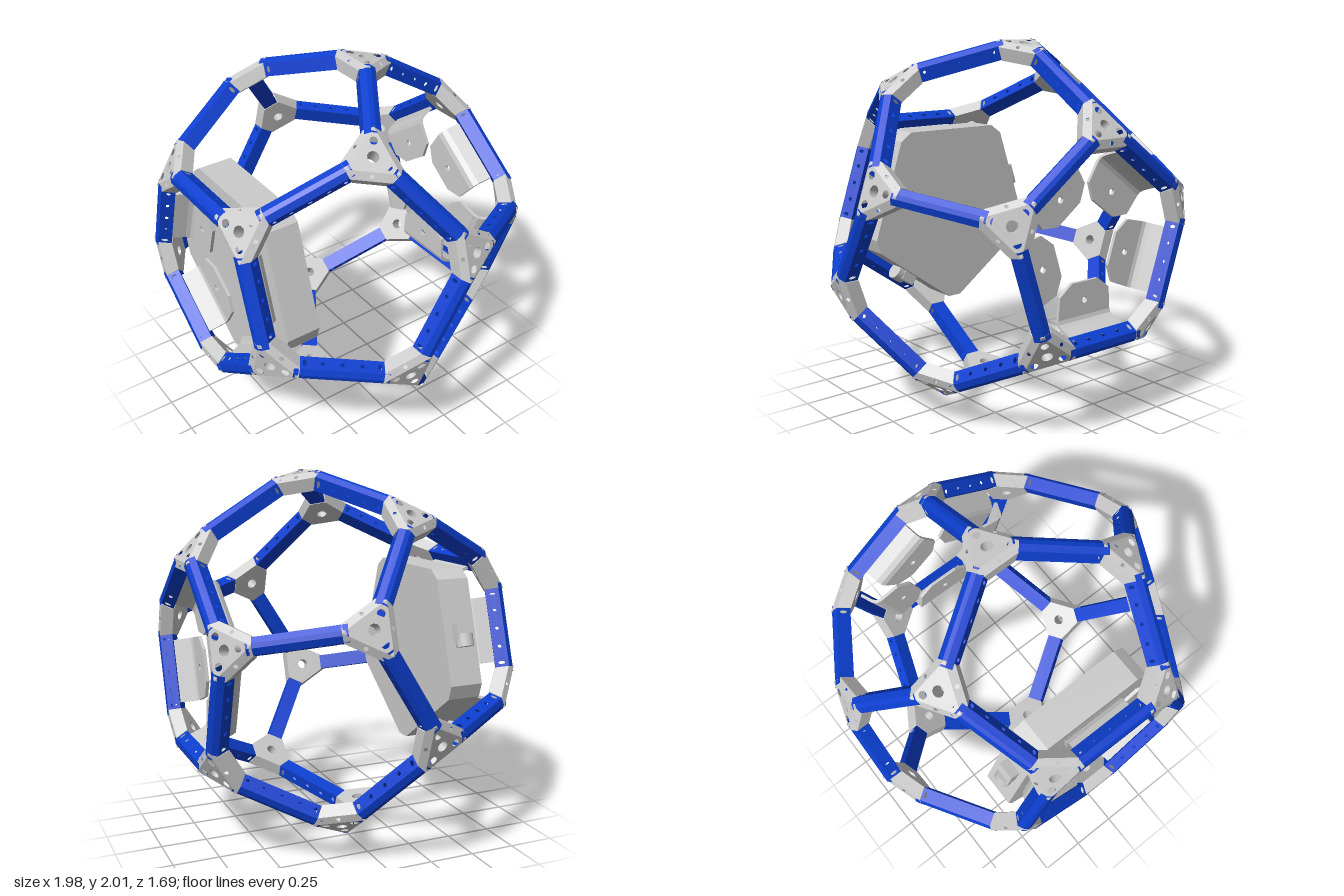
import * as THREE from 'three';
import { mergeGeometries } from 'three/addons/utils/BufferGeometryUtils.js';

const EDGE = 0.758;                 // edge length of the dodecahedron
const ARM = 0.165;                  // reach of a corner connector along each edge
const SLOPE = Math.tan(Math.PI / 2 - 1.01722); // roof pitch of the strut section
const TAU = Math.PI * 2;

const blue = new THREE.MeshStandardMaterial({ color: 0x0c3fd0, side: THREE.DoubleSide });
const grey = new THREE.MeshStandardMaterial({ color: 0xcccccc, side: THREE.DoubleSide });

const at = (o, ...terms) => {       // o + sum of (vector, factor) pairs
  const p = o.clone();
  for (let i = 0; i < terms.length; i += 2) p.addScaledVector(terms[i], terms[i + 1]);
  return p;
};
const mean = (pts) => pts.reduce((s, p) => s.add(p), new THREE.Vector3()).divideScalar(pts.length);

// Flat polygon with elliptical holes, facing away from the point "inside"
function panel(pts, inside, holes = []) {
  const o = pts[0];
  const u = pts[1].clone().sub(o).normalize();
  const n = u.clone().cross(pts[2].clone().sub(o)).normalize();
  if (n.dot(o.clone().sub(inside)) < 0) n.negate();
  const v = n.clone().cross(u);
  const flat = (p) => {
    const d = p.clone().sub(o);
    return new THREE.Vector2(d.dot(u), d.dot(v));
  };
  const shape = new THREE.Shape(pts.map(flat));
  for (const [p, rx, ry = rx] of holes) {
    const c = flat(p);
    shape.holes.push(new THREE.Path().absellipse(c.x, c.y, rx, ry, 0, TAU, true));
  }
  const g = new THREE.ShapeGeometry(shape, 5);
  return g.applyMatrix4(new THREE.Matrix4().makeBasis(u, v, n).setPosition(o));
}

// Corners of the frame: two pentagons and two wider rings
function corners() {
  const list = [];
  for (const s of [1, -1]) {
    for (let k = 0; k < 5; k++) {
      const t = -s * Math.PI / 2 + k * TAU / 5;
      for (const [r, z] of [[0.8507, 1.1135], [1.3764, 0.2629]]) {
        list.push(new THREE.Vector3(r * Math.cos(t), r * Math.sin(t), s * z).multiplyScalar(EDGE));
      }
    }
  }
  return list;
}

// House-shaped hollow beam with bolt holes and end slots in its sides
function strut(a, b) {
  const mid = a.clone().add(b).multiplyScalar(0.5);
  const up = mid.clone().normalize();
  const e = b.clone().sub(a).normalize();
  const side = e.clone().cross(up);
  const half = EDGE / 2 - ARM + 0.03, w = 0.043, r = 0.012, depth = 0.1;
  const P = (x, y, z) => at(mid, e, x, side, y, up, z);
  const strip = (y0, z0, y1, z1, holes) => panel(
    [P(-half, y0, z0), P(half, y0, z0), P(half, y1, z1), P(-half, y1, z1)], P(0, 0, -0.05), holes);
  const parts = [strip(-r, -r * SLOPE, r, -r * SLOPE), strip(-w, -depth, w, -depth)];
  for (const s of [1, -1]) {
    const holes = [-0.1, 0, 0.1].map((x) => [P(x, s * w, -0.062), 0.011]);
    holes.push(...[-0.19, 0.19].map((x) => [P(x, s * w, -0.062), 0.01, 0.019]));
    parts.push(strip(s * w, -w * SLOPE, s * w, -depth, holes));
    parts.push(strip(s * r, -r * SLOPE, s * w, -w * SLOPE));
  }
  return new THREE.Mesh(mergeGeometries(parts), blue);
}

// Three-armed corner connector with a drilled cap and a through bore
function connector(v, neighbours) {
  const n = v.clone().normalize();
  const w = 0.047, depth = 0.103;
  const arms = neighbours.map((q) => {
    const e = q.clone().sub(v).normalize();
    const up = q.clone().add(v).normalize();
    const o = at(v, e, ARM);
    return { e, up, o, side: e.clone().cross(up) };
  });
  const edge = (i, j, z) => {       // section corner of arm i on the side of arm j
    const { o, up, side } = arms[i];
    return at(o, side, w * Math.sign(side.dot(arms[j].e)), up, z);
  };
  const pairs = [[0, 1], [1, 2], [2, 0]];
  const zs = -w * SLOPE;
  const inside = at(mean(arms.map((a) => a.o)), n, -0.045);
  const tips = arms.map((a) => a.o);
  const centre = mean(tips);
  const bottom = pairs.flatMap(([i, j]) => [edge(i, j, -depth), edge(j, i, -depth)]);
  const base = mean(bottom);
  const parts = [
    panel(tips, inside, [[centre, 0.03], ...tips.map((t) => [centre.clone().lerp(t, 0.54), 0.021])]),
    panel(bottom, inside, [[base, 0.03]]),
  ];
  for (const [i, j] of pairs) {
    const web = [tips[i], edge(i, j, zs), edge(j, i, zs), tips[j]];
    parts.push(panel(web, inside, [[mean(web), 0.011]]));
    parts.push(panel([edge(i, j, zs), edge(i, j, -depth), edge(j, i, -depth), edge(j, i, zs)], inside));
    const k = 3 - i - j;
    parts.push(panel([tips[i], edge(i, j, zs), edge(i, j, -depth), edge(i, k, -depth), edge(i, k, zs)], inside));
  }
  const bore = new THREE.CylinderGeometry(0.03, 0.03, centre.distanceTo(base), 20, 1, true).toNonIndexed();
  bore.applyQuaternion(new THREE.Quaternion().setFromUnitVectors(new THREE.Vector3(0, 1, 0), n));
  bore.translate(...centre.clone().lerp(base, 0.5).toArray());
  return new THREE.Mesh(mergeGeometries([...parts.map((g) => g.toNonIndexed()), bore]), grey);
}

// Bent mounting tab: drilled plate plus a ramp up to the strut
function mountingTab() {
  const tab = new THREE.Group();
  const plate = new THREE.Shape([[0.2, -0.09], [0.26, -0.17], [0.385, -0.18], [0.385, 0.18], [0.26, 0.17], [0.2, 0.09]]
    .map((p) => new THREE.Vector2(...p)));
  plate.holes.push(new THREE.Path().absarc(0.3, 0, 0.018, 0, TAU, true));
  const flat = new THREE.ExtrudeGeometry(plate, { depth: 0.018, bevelEnabled: false, curveSegments: 8 });
  flat.translate(0, 0, 0.66);
  const profile = new THREE.Shape([[0.38, 0.66], [0.41, 0.67], [0.43, 0.695], [0.465, 0.78], [0.45, 0.79], [0.415, 0.705], [0.4, 0.685], [0.38, 0.678]]
    .map((p) => new THREE.Vector2(...p)));
  const ramp = new THREE.ExtrudeGeometry(profile, { depth: 0.36, bevelEnabled: false });
  ramp.translate(0, 0, -0.18).rotateX(Math.PI / 2);
  tab.add(new THREE.Mesh(flat, grey), new THREE.Mesh(ramp, grey));
  return tab;
}

function tabRing() {
  const ring = new THREE.Group();
  for (let k = 0; k < 5; k++) {
    const tab = mountingTab();
    tab.name = 'mountingTab';
    tab.rotation.z = Math.PI / 2 + k * TAU / 5;
    ring.add(tab);
  }
  return ring;
}

// Pentagonal equipment case with clipped corners and two side sockets
function equipmentCase() {
  const box = new THREE.Group();
  const R = 0.581, clip = 0.075;
  const c = [0, 1, 2, 3, 4].map((k) => {
    const t = -Math.PI / 2 + k * TAU / 5;
    return new THREE.Vector2(R * Math.cos(t), R * Math.sin(t));
  });
  const outline = c.flatMap((p, k) => [
    p.clone().lerp(c[(k + 4) % 5], clip), p.clone().lerp(c[(k + 1) % 5], clip)]);
  const body = new THREE.ExtrudeGeometry(new THREE.Shape(outline), { depth: 0.19, bevelEnabled: false });
  body.translate(0, 0, 0.47);
  const bodyMesh = new THREE.Mesh(body, grey);
  bodyMesh.name = 'caseBody';
  box.add(bodyMesh);
  for (const deg of [162, -54]) {
    const socket = new THREE.Group();
    socket.name = 'socket';
    const block = new THREE.Mesh(new THREE.BoxGeometry(0.06, 0.09, 0.1), grey);
    block.position.set(0.495, 0, 0.57);
    const plug = new THREE.Mesh(new THREE.CylinderGeometry(0.048, 0.048, 0.07, 24), grey);
    plug.position.set(0.5, 0.05, 0.57);
    socket.add(block, plug);
    socket.rotation.z = deg * Math.PI / 180;
    box.add(socket);
  }
  return box;
}

export function createModel() {
  const model = new THREE.Group();
  const frame = new THREE.Group();
  frame.name = 'frame';
  frame.position.y = 1;
  model.add(frame);
  const put = (part, name) => {
    part.name = name;
    frame.add(part);
    return part;
  };

  const pts = corners();
  pts.forEach((p, i) => {
    const near = pts.filter((q) => q !== p && p.distanceTo(q) < EDGE * 1.1);
    put(connector(p, near), 'cornerConnector');
    near.filter((q) => pts.indexOf(q) > i).forEach((q) => put(strut(p, q), 'strut'));
  });

  put(tabRing(), 'frontTabs');
  put(tabRing(), 'backTabs').rotation.x = Math.PI;
  put(equipmentCase(), 'equipmentCase');
  return model;
}
